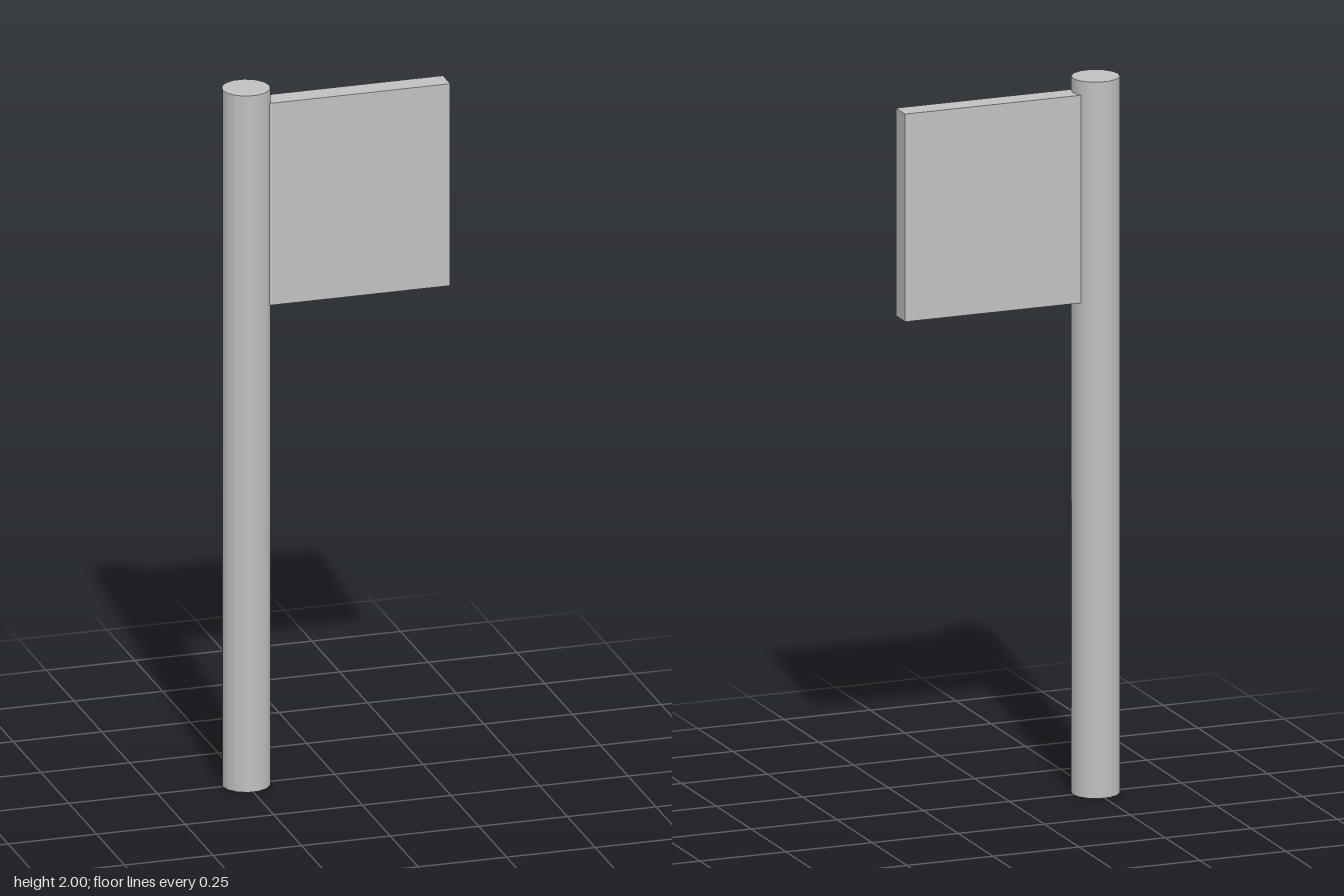
import * as THREE from 'three';

export function createModel() {
  const model = new THREE.Group();
  model.name = 'flagOnPole';

  const grey = new THREE.MeshStandardMaterial({ color: 0xc0c0c0 });
  grey.name = 'plainGrey';

  const poleX = -0.25;
  const poleRadius = 0.066;

  // Upright pole: 14 smooth sides with a corner pointing along x
  const pole = new THREE.Mesh(
    new THREE.CylinderGeometry(poleRadius, poleRadius, 2, 14, 1, false, Math.PI / 2),
    grey
  );
  pole.name = 'pole';
  pole.position.set(poleX, 1, 0);
  model.add(pole);

  // Thick square flag, its inner edge sunk into the pole
  const flagEnd = 0.316;
  const flagBottom = 1.38;
  const flagTop = 1.96;
  const flag = new THREE.Mesh(
    new THREE.BoxGeometry(flagEnd - poleX, flagTop - flagBottom, 0.066),
    grey
  );
  flag.name = 'flag';
  flag.position.set((flagEnd + poleX) / 2, (flagTop + flagBottom) / 2, 0);
  model.add(flag);

  return model;
}
